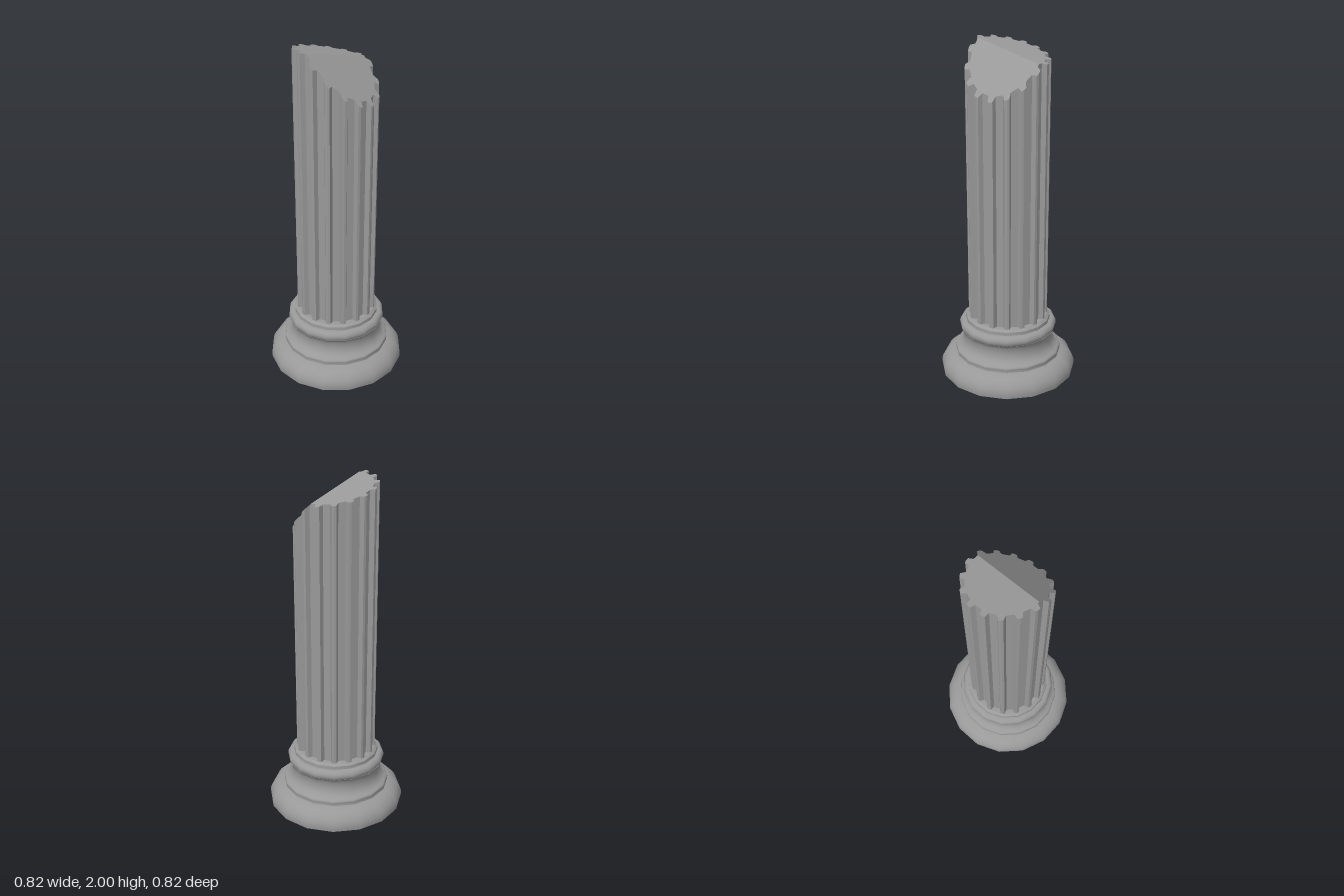
import * as THREE from 'three';
import { toCreasedNormals } from 'three/addons/utils/BufferGeometryUtils.js';

const SIDES = 16;
const STEP = 360 / SIDES;
const RAD = Math.PI / 180;
const stone = new THREE.MeshStandardMaterial({ color: 0x999999 });

// Arc of an ellipse in the profile plane, angles in degrees
function arc(cx, cy, rx, ry, from, to, n) {
  return Array.from({ length: n + 1 }, (_, i) => {
    const a = (from + (to - from) * i / n) * RAD;
    return new THREE.Vector2(cx + rx * Math.cos(a), cy + ry * Math.sin(a));
  });
}

// Moulded foot: wide cushion, step, hollow, upper ring and collar
function createBase() {
  const v = (x, y) => new THREE.Vector2(x, y);
  const profile = [
    v(0, 0), v(0.405, 0),
    ...arc(0.295, 0.02, 0.113, 0.102, 0, 78, 8),
    ...arc(0.3, 0.14, 0.02, 0.017, -30, 80, 4),
    ...arc(0.312, 0.225, 0.04, 0.065, 240, 130, 8),
    ...arc(0.265, 0.298, 0.027, 0.031, -70, 80, 8),
    v(0.255, 0.33), v(0.254, 0.35),
    v(0.239, 0.362), v(0, 0.362),
  ];
  return toCreasedNormals(new THREE.LatheGeometry(profile, SIDES), 32 * RAD);
}

// Fluted shaft, broken off along two planes that meet in a slanting ridge
function createShaft() {
  const R = 0.237, FLOOR = 0.208, RIDGE = 13.9, TOP = 1.94;
  const TIP = 3.3, FOOT = 5.8; // half angles of a rib, outside and inside
  const half = STEP / 2;
  const chord = a => R * Math.cos(half * RAD) / Math.cos((half - Math.abs(a)) * RAD);
  const floor = a => FLOOR * Math.cos((half - FOOT) * RAD) / Math.cos((half - Math.abs(a)) * RAD);
  const outline = [];
  for (let k = 0; k < SIDES; k++) {
    for (const a of [-FOOT, -TIP, 0, TIP, FOOT, RIDGE]) {
      const t = (k * STEP + a) * RAD;
      const r = Math.abs(a) <= TIP ? chord(a) : floor(a);
      outline.push([r * Math.cos(t), r * Math.sin(t)]);
    }
  }

  // Height of the break: the lower of the two planes
  const m = Math.tan(RIDGE * RAD);
  const breakHeight = (x, z) => TOP + Math.min(-x, -0.07 * x + 0.93 * m * z);

  const bottom = outline.map(([x, z]) => [x, 0.35, z]);
  const top = outline.map(([x, z]) => [x, breakHeight(x, z), z]);
  const positions = [];
  for (let i = 0; i < outline.length; i++) {
    const j = (i + 1) % outline.length;
    // Wall of ribs and flutes
    positions.push(...bottom[i], ...top[i], ...top[j], ...bottom[i], ...top[j], ...bottom[j]);
    // Broken top face
    positions.push(0, TOP, 0, ...top[j], ...top[i]);
  }
  const geometry = new THREE.BufferGeometry();
  geometry.setAttribute('position', new THREE.Float32BufferAttribute(positions, 3));
  geometry.computeVertexNormals();
  return geometry;
}

export function createModel() {
  const column = new THREE.Group();
  column.name = 'brokenColumn';
  for (const [name, geometry] of [['base', createBase()], ['flutedShaft', createShaft()]]) {
    const mesh = new THREE.Mesh(geometry, stone);
    mesh.name = name;
    column.add(mesh);
  }
  return column;
}
